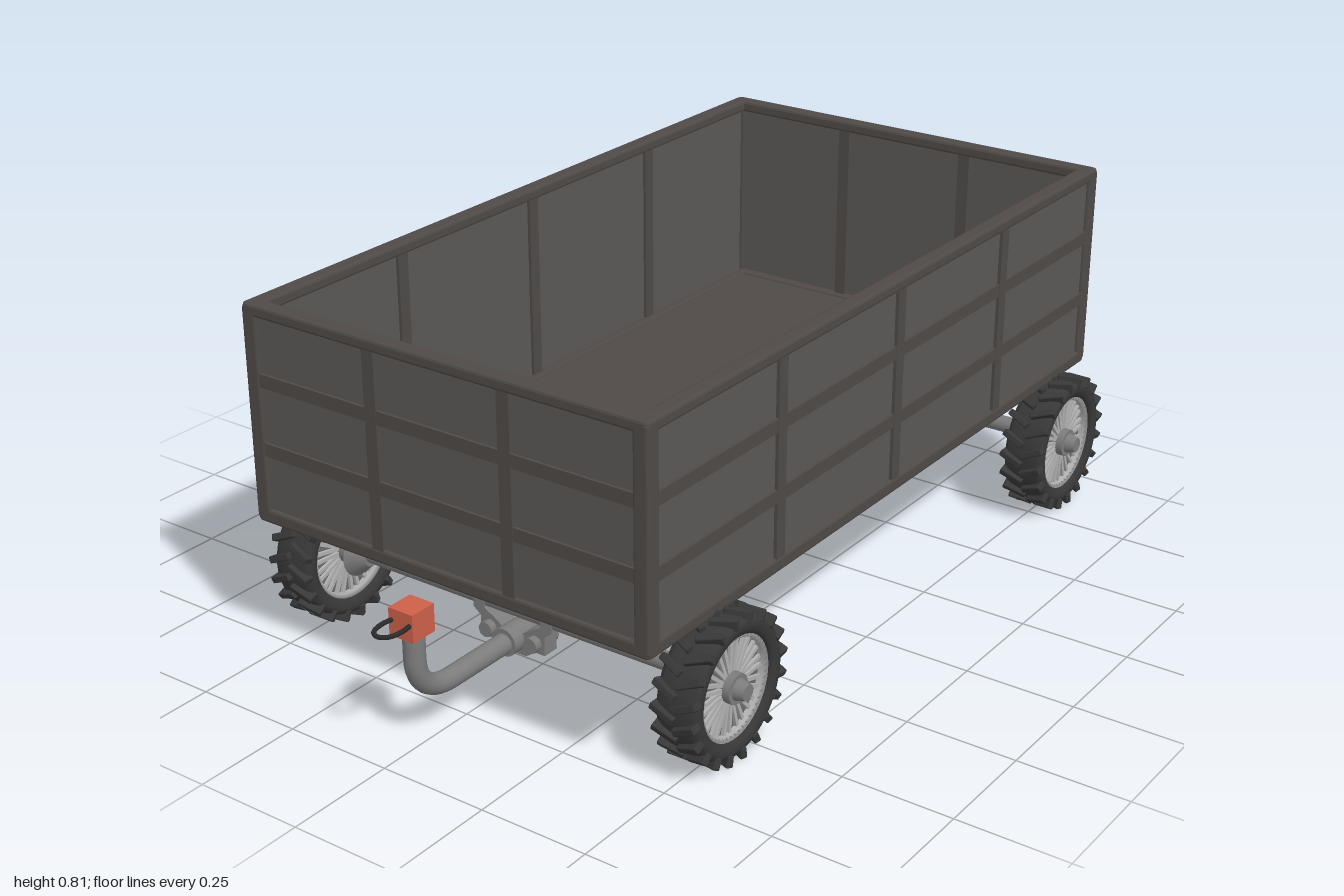
import * as THREE from 'three';
import { mergeGeometries } from 'three/addons/utils/BufferGeometryUtils.js';
import { RoundedBoxGeometry } from 'three/addons/geometries/RoundedBoxGeometry.js';

const mat = (color) => new THREE.MeshStandardMaterial({ color });
const frameMat = mat(0x4f4a47), panelMat = mat(0x5a5856), tyreMat = mat(0x383838);
const rimMat = mat(0xb0b0b0), webMat = mat(0x6a6a6a), steelMat = mat(0x7c7c7c);
const redMat = mat(0xcc6048), darkMat = mat(0x2a2a2a);

function add(parent, name, geometry, material, x = 0, y = 0, z = 0) {
  const mesh = new THREE.Mesh(geometry, material);
  mesh.name = name;
  mesh.position.set(x, y, z);
  parent.add(mesh);
  return mesh;
}
const box = (w, h, d) => new THREE.BoxGeometry(w, h, d);
const rodX = (r1, r2, len, sides = 20) => new THREE.CylinderGeometry(r1, r2, len, sides).rotateZ(-Math.PI / 2);
const rodZ = (r, len, sides = 20) => new THREE.CylinderGeometry(r, r, len, sides).rotateX(Math.PI / 2);
const latheX = (pts, sides = 40) =>
  new THREE.LatheGeometry(pts.map(([r, x]) => new THREE.Vector2(r, x)), sides).rotateZ(-Math.PI / 2);

// Body dimensions
const W = 1.018, D = 1.789, Y0 = 0.32, Y1 = 0.81, T = 0.038, CX = -0.004, CZ = -0.092;

function roundedRect(path, w, d, r) {
  const x = w / 2, y = d / 2;
  path.moveTo(-x + r, -y);
  path.lineTo(x - r, -y).quadraticCurveTo(x, -y, x, -y + r);
  path.lineTo(x, y - r).quadraticCurveTo(x, y, x - r, y);
  path.lineTo(-x + r, y).quadraticCurveTo(-x, y, -x, y - r);
  path.lineTo(-x, -y + r).quadraticCurveTo(-x, -y, -x + r, -y);
  return path;
}

// Horizontal rail running round the whole body, with softened edges
function ring(height, thickness) {
  const b = 0.006;
  const shape = roundedRect(new THREE.Shape(), W - 2 * b, D - 2 * b, 0.008);
  shape.holes.push(roundedRect(new THREE.Path(), W - 2 * thickness + 2 * b, D - 2 * thickness + 2 * b, 0.008));
  return new THREE.ExtrudeGeometry(shape, {
    depth: height - 2 * b, bevelThickness: b, bevelSize: b, bevelSegments: 2, curveSegments: 4,
  }).rotateX(-Math.PI / 2).translate(0, b, 0);
}

// One wall: x along its length, +z outward, outer face at z = 0
function wall(name, length, cols) {
  const g = new THREE.Group();
  g.name = name;
  const mid = (Y0 + Y1) / 2, h = Y1 - Y0 - 0.02;
  add(g, 'wallPanel', box(length - 0.02, h, T - 0.018), panelMat, 0, mid, -T / 2);
  for (let i = 1; i < cols; i++)
    add(g, 'wallPost', box(0.03, h, T - 0.003), frameMat, (i / cols - 0.5) * length, mid, -T / 2);
  for (const y of [0.49, 0.645])
    add(g, 'wallRail', box(length - 0.02, 0.03, T / 2), frameMat, 0, y, -T / 4 - 0.0025);
  return g;
}

function cargoBody() {
  const body = new THREE.Group();
  body.name = 'cargoBody';
  body.position.set(CX, 0, CZ);
  add(body, 'floor', box(W - 0.01, 0.025, D - 0.01), frameMat, 0, Y0 + 0.0135, 0);
  add(body, 'bottomRim', ring(0.032, 0.052), frameMat, 0, Y0, 0);
  add(body, 'topRim', ring(0.027, T), frameMat, 0, Y1 - 0.027, 0);
  for (const sx of [-1, 1]) for (const sz of [-1, 1])
    add(body, 'cornerPost', new RoundedBoxGeometry(T, Y1 - Y0 - 0.01, T, 2, 0.008), frameMat,
      sx * (W - T) / 2, (Y0 + Y1) / 2, sz * (D - T) / 2);
  for (const s of [-1, 1]) {
    const end = wall(s > 0 ? 'frontWall' : 'backWall', W, 3);
    end.position.z = s * D / 2;
    end.rotation.y = s > 0 ? 0 : Math.PI;
    const side = wall(s > 0 ? 'leftWall' : 'rightWall', D, 4);
    side.position.x = s * W / 2;
    side.rotation.y = s * Math.PI / 2;
    body.add(end, side);
  }
  return body;
}

// Wheel geometry, axis along x, outer side towards +x
const half = [[0.113, -0.04], [0.122, -0.047], [0.135, -0.05], [0.146, -0.047], [0.151, -0.035], [0.153, -0.015]];
const tyreProfile = [...half, ...half.map(([r, x]) => [r, -x]).reverse(), half[0]];

function lugs() {
  const parts = [], n = 20;
  for (const s of [-1, 1]) for (let i = 0; i < n; i++) {
    const lug = new RoundedBoxGeometry(0.058, 0.026, 0.016, 1, 0.003);
    // tilt each lug into a chevron, staggered left and right
    lug.rotateY(s * 0.42).translate(s * 0.0255, 0.1515, 0);
    parts.push(lug.rotateX((i + (s > 0 ? 0.5 : 0)) / n * Math.PI * 2));
  }
  return mergeGeometries(parts);
}

function spokes() {
  const parts = [], n = 28;
  for (const s of [-1, 1]) for (let i = 0; i < n; i++) {
    const spoke = box(0.008, 0.082, 0.008).rotateX(i % 2 ? 0.05 : -0.05);
    parts.push(spoke.translate(s * 0.024, 0.069, 0).rotateX(i / n * Math.PI * 2));
  }
  return mergeGeometries(parts);
}

const tyreGeo = latheX(tyreProfile, 48), lugGeo = lugs(), spokeGeo = spokes();
const rimGeo = latheX([[0.104, -0.034], [0.116, -0.042], [0.116, 0.042], [0.104, 0.034], [0.104, -0.034]], 48);

function wheel(side, z) {
  const g = new THREE.Group();
  g.name = side > 0 ? 'leftWheel' : 'rightWheel';
  g.position.set(side * 0.507, 0.167, z);
  g.rotation.y = side > 0 ? 0 : Math.PI;
  add(g, 'tyre', tyreGeo, tyreMat);
  add(g, 'treadLugs', lugGeo, tyreMat);
  add(g, 'rim', rimGeo, rimMat);
  add(g, 'rimDisc', rodX(0.106, 0.106, 0.042, 40), webMat);
  add(g, 'spokes', spokeGeo, rimMat);
  add(g, 'hub', rodX(0.033, 0.033, 0.09), steelMat);
  add(g, 'hubCap', rodX(0.018, 0.024, 0.025), steelMat, 0.0555);
  add(g, 'hubFlare', rodX(0.055, 0.024, 0.035), steelMat, -0.0795);
  return g;
}

// Hanger: two straps below the floor joined by a cradle under the axle
function hangerGeometry() {
  const right = [[0.104, 0.325], [0.104, 0.15], [0.085, 0.135], [0.085, 0.092], [0.06, 0.092], [0.035, 0.075]];
  const inner = [[0.025, 0.125], [0.05, 0.142], [0.075, 0.155], [0.075, 0.325]];
  const flip = (pts) => pts.map(([x, y]) => [-x, y]).reverse();
  const outline = [...right, ...flip(right), ...flip(inner), ...inner];
  const shape = new THREE.Shape(outline.map(([x, y]) => new THREE.Vector2(x, y)));
  return new THREE.ExtrudeGeometry(shape, { depth: 0.04, bevelEnabled: false }).translate(0, 0, -0.02);
}

function axleSet(name, z) {
  const g = new THREE.Group();
  g.name = name;
  add(g, 'axle', rodX(0.02, 0.02, 0.92), steelMat, 0, 0.172, z);
  add(g, 'hanger', hangerGeometry(), steelMat, -0.003, 0, z);
  add(g, 'pivot', rodZ(0.032, 0.1), steelMat, -0.003, 0.11, z);
  for (const s of [-1, 1]) {
    add(g, 'clampBolt', rodZ(0.018, 0.075, 8), steelMat, -0.003 + s * 0.06, 0.115, z);
    g.add(wheel(s, z));
  }
  return g;
}

// Drawbar bending up into the coupling block and its eye
function drawbar() {
  const g = new THREE.Group();
  g.name = 'drawbar';
  g.position.x = -0.003;
  const v = (x, y, z) => new THREE.Vector3(x, y, z);
  const path = new THREE.CurvePath();
  path.add(new THREE.LineCurve3(v(0, 0.108, 0.57), v(0, 0.108, 0.79)));
  path.add(new THREE.CubicBezierCurve3(v(0, 0.108, 0.79), v(0, 0.108, 0.85), v(0, 0.14, 0.893), v(0, 0.2, 0.893)));
  path.add(new THREE.LineCurve3(v(0, 0.2, 0.893), v(0, 0.27, 0.893)));
  add(g, 'drawbarTube', new THREE.TubeGeometry(path, 40, 0.023, 16), steelMat);
  add(g, 'couplingBlock', box(0.062, 0.062, 0.064), redMat, 0, 0.29, 0.896);
  const eye = new THREE.CatmullRomCurve3([[-0.022, 0.92], [-0.026, 0.955], [-0.018, 0.985], [0, 0.995],
    [0.018, 0.985], [0.026, 0.955], [0.022, 0.92]].map(([x, z]) => v(x, 0.296, z)));
  add(g, 'couplingEye', new THREE.TubeGeometry(eye, 32, 0.005, 8), darkMat);
  return g;
}

export function createModel() {
  const model = new THREE.Group();
  model.name = 'farmTrailer';
  model.add(cargoBody(), axleSet('frontAxle', 0.573), axleSet('rearAxle', -0.833), drawbar());
  return model;
}
